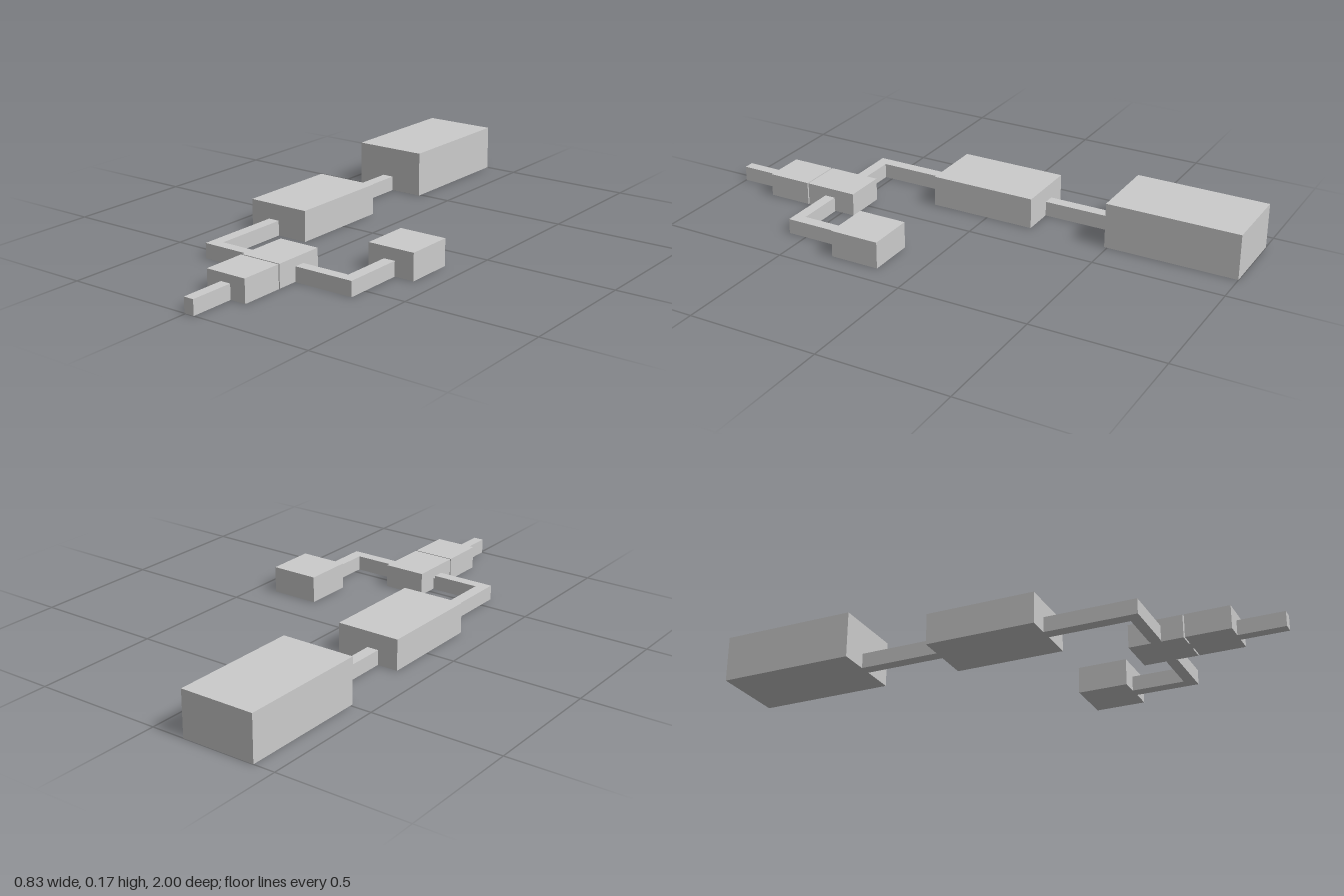
import * as THREE from 'three';

const material = new THREE.MeshStandardMaterial({ color: 0xcccccc, flatShading: true });

// Box standing on the ground, given by its plan extents and height
function block(name, x0, x1, z0, z1, height) {
  const geometry = new THREE.BoxGeometry(x1 - x0, height, z1 - z0);
  geometry.translate((x0 + x1) / 2, height / 2, (z0 + z1) / 2);
  const mesh = new THREE.Mesh(geometry, material);
  mesh.name = name;
  return mesh;
}

// Flat-topped passage from a plan outline of [x, z] corners
function passage(name, outline, height) {
  const shape = new THREE.Shape(outline.map(([x, z]) => new THREE.Vector2(x, -z)));
  const geometry = new THREE.ExtrudeGeometry(shape, { depth: height, bevelEnabled: false });
  geometry.rotateX(-Math.PI / 2);
  const mesh = new THREE.Mesh(geometry, material);
  mesh.name = name;
  return mesh;
}

export function createModel() {
  const model = new THREE.Group();
  model.name = 'chamberComplex';
  const corridorHeight = 0.057;
  const doorHeight = 0.045;

  // Chambers
  model.add(
    block('outerChamber', -0.066, 0.098, 0.656, 0.825, 0.088),
    block('innerChamber', -0.066, 0.098, 0.448, 0.651, 0.088),
    block('sideChamber', 0.227, 0.415, 0.14, 0.33, 0.102),
    block('middleChamber', -0.386, -0.136, -0.185, 0.228, 0.118),
    block('rearChamber', -0.417, -0.13, -1, -0.488, 0.174)
  );

  // Straight corridors
  model.add(
    block('entranceCorridor', -0.005, 0.035, 0.825, 1, corridorHeight),
    block('rearCorridor', -0.305, -0.26, -0.488, -0.185, corridorHeight)
  );

  // Corridors that turn a corner
  model.add(
    passage('rightCorridor', [
      [-0.075, 0.53], [-0.26, 0.53], [-0.26, 0.228],
      [-0.305, 0.228], [-0.305, 0.572], [-0.075, 0.572]
    ], corridorHeight),
    passage('leftCorridor', [
      [0.101, 0.53], [0.292, 0.53], [0.292, 0.33],
      [0.337, 0.33], [0.337, 0.572], [0.101, 0.572]
    ], corridorHeight)
  );

  // Low doorways bridging the narrow gaps
  model.add(
    block('chamberDoorway', -0.005, 0.035, 0.651, 0.656, doorHeight),
    block('rightDoorway', -0.075, -0.066, 0.533, 0.569, doorHeight),
    block('leftDoorway', 0.098, 0.101, 0.533, 0.569, doorHeight)
  );

  return model;
}
